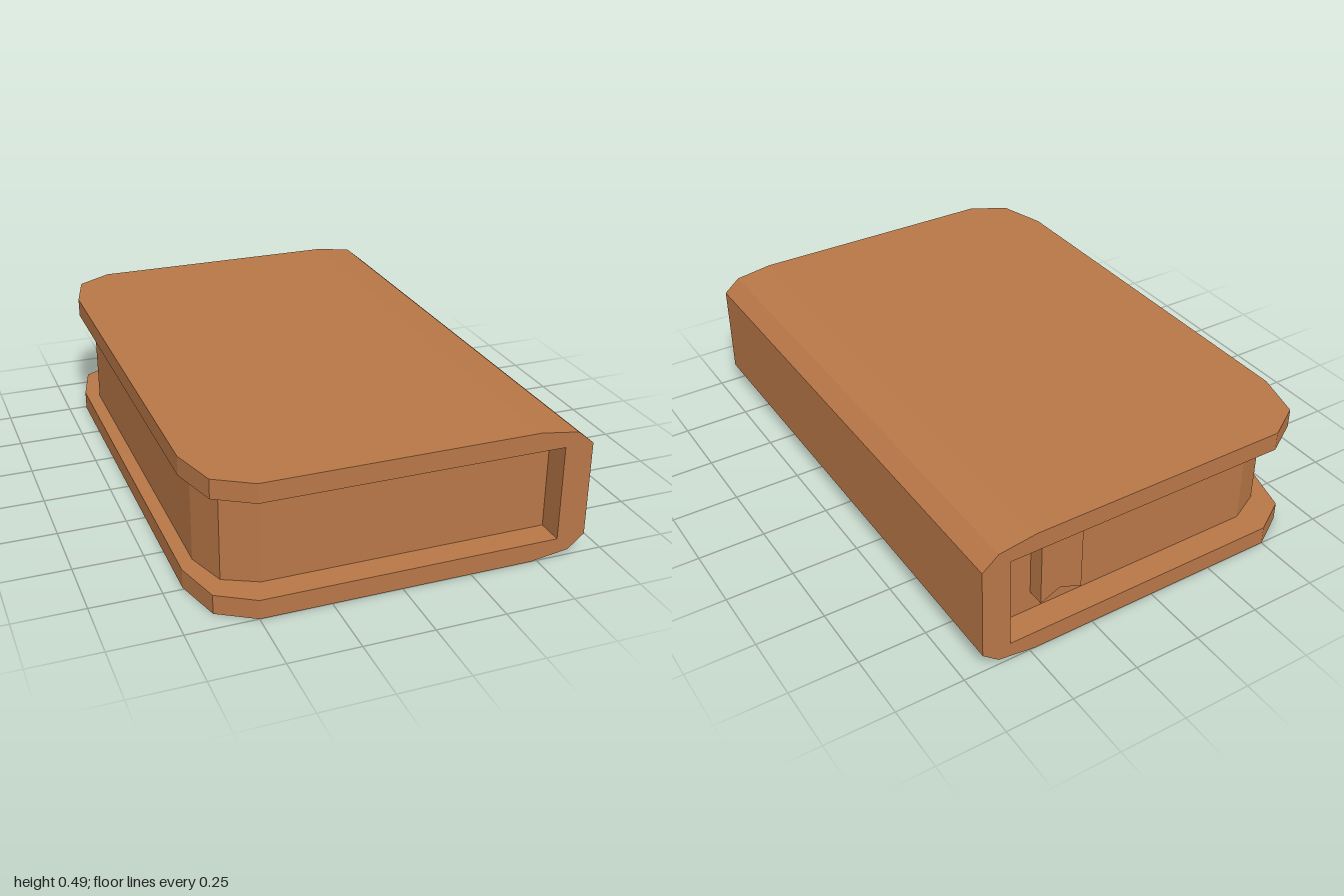
import * as THREE from 'three';

const brown = new THREE.MeshStandardMaterial({ color: 0xb87747 });
brown.name = 'leatherBrown';

const toShape = (points) => new THREE.Shape(points.map(([x, y]) => new THREE.Vector2(x, y)));
const extrude = (points, depth) =>
  new THREE.ExtrudeGeometry(toShape(points), { depth, bevelEnabled: false });

function addPart(group, name, geometry) {
  const mesh = new THREE.Mesh(geometry, brown);
  mesh.name = name;
  group.add(mesh);
}

// Flat slab with a straight inner edge and two cut outer corners
function slab(innerX, corner, y, height) {
  const rear = corner.map(([x, z]) => [x, -z]).reverse();
  const end = corner[0][1];
  const geometry = extrude([[innerX, end], ...corner, ...rear, [innerX, -end]], height);
  return geometry.rotateX(-Math.PI / 2).translate(0, y, 0);
}

export function createModel() {
  const book = new THREE.Group();
  book.name = 'book';

  // Cover boards
  const coverCorner = [[-0.5, 1], [-0.63, 0.92], [-0.68, 0.74]];
  addPart(book, 'bottomCover', slab(0.48, coverCorner, 0, 0.07));
  addPart(book, 'topCover', slab(0.48, coverCorner, 0.42, 0.07));

  // Bevelled spine joining the boards
  const spine = [
    [0.48, 0], [0.62, 0.02], [0.68, 0.07], [0.68, 0.42], [0.62, 0.47], [0.48, 0.49],
    [0.48, 0.42], [0.575, 0.42], [0.575, 0.07], [0.48, 0.07],
  ];
  addPart(book, 'spine', extrude(spine, 2).translate(0, 0, -1));

  // Page block, set back from the cover edges
  const pageCorner = [[-0.46, 0.9], [-0.58, 0.84], [-0.63, 0.69]];
  addPart(book, 'pages', slab(0.575, pageCorner, 0.07, 0.35));

  // Swallow-tailed bookmark at the rear end of the pages
  const ribbon = [[0.275, 0.42], [0.275, 0.145], [0.36, 0.18], [0.435, 0.145], [0.435, 0.42]];
  addPart(book, 'bookmark', extrude(ribbon, 0.07).translate(0, 0, -0.963));

  return book;
}
